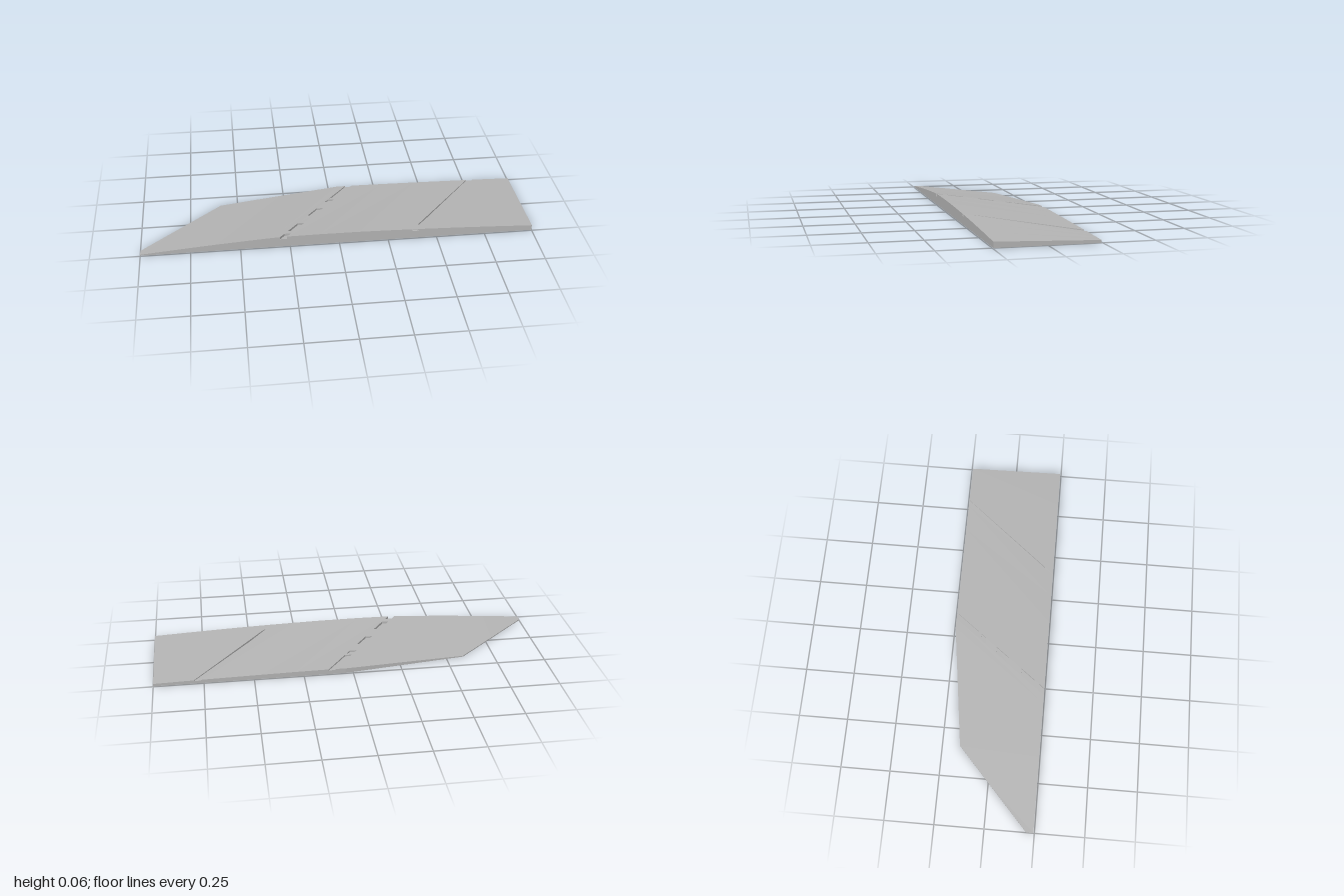
import * as THREE from 'three';

const FRONT = 0.245;

// Slanted ribs across the slab: [front x, front height, back x, back z, back height]
const RIBS = [
  [-1, 0.006, -1, 0.21, 0.005],
  [-0.8, 0.023, -0.79, 0.02, 0.005],
  [-0.62, 0.037, -0.59, -0.16, 0.005],
  [-0.47, 0.047, -0.27, -0.203, 0.016],
  [-0.345, 0.055, 0.04, -0.245, 0.026],
  [-0.3, 0.057, 0.09, -0.245, 0.027],
  [-0.265, 0.058, 0.125, -0.245, 0.027],
  [-0.1, 0.059, 0.29, -0.245, 0.0255],
  [0.1, 0.058, 0.47, -0.245, 0.023],
  [0.25, 0.055, 0.62, -0.245, 0.0205],
  [0.375, 0.052, 0.765, -0.245, 0.018],
  [0.379, 0.052, 0.8, -0.245, 0.0175],
  [0.6, 0.045, 0.87, -0.245, 0.016],
  [0.8, 0.037, 0.935, -0.245, 0.0145],
  [1, 0.028, 1, -0.245, 0.013],
];

// Open lengths of each groove, as fractions from front to back, by strip
const GROOVES = {
  5: [[0, 0.06], [0.11, 0.255], [0.4, 0.54], [0.665, 0.715], [0.745, 1]],
  10: [[0.09, 1]],
};
const FLOOR = 0.77;

// Point on a rib; k scales the height (0 = underside, 1 = top)
function point(i, t, k = 1) {
  const [xf, hf, xb, zb, hb] = RIBS[i];
  const mix = THREE.MathUtils.lerp;
  return [mix(xf, xb, t), k * mix(hf, hb, t), mix(FRONT, zb, t)];
}

function quadGeometry(quads) {
  const pos = [];
  for (const [a, b, c, d] of quads) pos.push(...a, ...b, ...c, ...a, ...c, ...d);
  const g = new THREE.BufferGeometry();
  g.setAttribute('position', new THREE.Float32BufferAttribute(pos, 3));
  g.computeVertexNormals();
  return g;
}

export function createModel() {
  const group = new THREE.Group();
  const grey = new THREE.MeshStandardMaterial({ color: 0xb4b4b4 });
  grey.name = 'plain grey';
  const add = (name, geometry) => {
    const mesh = new THREE.Mesh(geometry, grey);
    mesh.name = name;
    group.add(mesh);
    return mesh;
  };

  const top = [], floors = [], bottom = [], back = [];
  const outline = [[RIBS[0][0], 0]];
  for (let i = 0; i < RIBS.length - 1; i++) {
    const j = i + 1;
    const open = GROOVES[i] || [];
    const cell = (t0, t1, k) => [point(i, t0, k), point(j, t0, k), point(j, t1, k), point(i, t1, k)];

    // Top skin between the grooves
    let t = 0;
    for (const [t0, t1] of open) {
      if (t0 > t) top.push(cell(t, t0, 1));
      t = t1;
      // Groove floor, side walls and closed ends
      floors.push(cell(t0, t1, FLOOR));
      floors.push([point(i, t0, FLOOR), point(i, t1, FLOOR), point(i, t1), point(i, t0)]);
      floors.push([point(j, t1, FLOOR), point(j, t0, FLOOR), point(j, t0), point(j, t1)]);
      if (t0 > 0) floors.push([point(j, t0, FLOOR), point(i, t0, FLOOR), point(i, t0), point(j, t0)]);
      if (t1 < 1) floors.push([point(i, t1, FLOOR), point(j, t1, FLOOR), point(j, t1), point(i, t1)]);
    }
    if (t < 1) top.push(cell(t, 1, 1));

    // Flat underside and back wall
    bottom.push(cell(0, 1, 0).reverse());
    const kb = t === 1 ? FLOOR : 1;
    back.push([point(j, 1, 0), point(i, 1, 0), point(i, 1, kb), point(j, 1, kb)]);

    // Front outline, dipping where a groove breaks through
    const kf = open.length && open[0][0] === 0 ? FLOOR : 1;
    outline.push([RIBS[i][0], RIBS[i][1]]);
    if (kf < 1) outline.push([RIBS[i][0], kf * RIBS[i][1]], [RIBS[j][0], kf * RIBS[j][1]]);
  }
  const last = RIBS.length - 1;
  outline.push([RIBS[last][0], RIBS[last][1]], [RIBS[last][0], 0]);

  add('topSkin', quadGeometry(top));
  add('grooves', quadGeometry(floors));
  add('underside', quadGeometry(bottom));
  add('backWall', quadGeometry(back));
  add('endWalls', quadGeometry([
    [point(last, 0, 0), point(last, 1, 0), point(last, 1), point(last, 0)],
    [point(0, 1, 0), point(0, 0, 0), point(0, 0), point(0, 1)],
  ]));

  // Front wall with a small slot
  const wall = new THREE.Shape(outline.map(([x, y]) => new THREE.Vector2(x, y)));
  const [x0, x1, y0, y1] = [0.374, 0.408, 0.041, 0.049];
  wall.holes.push(new THREE.Path([[x0, y0], [x0, y1], [x1, y1], [x1, y0]].map(([x, y]) => new THREE.Vector2(x, y))));
  add('frontWall', new THREE.ShapeGeometry(wall)).position.z = FRONT;

  // Inside of the slot: a box turned inside out
  const depth = 0.02;
  const slot = new THREE.BoxGeometry(x1 - x0, y1 - y0, depth).toNonIndexed();
  slot.scale(1, 1, -1);
  const p = slot.attributes.position;
  for (let i = 0; i < p.count; i += 3) {
    // swap two corners so that every face looks inward
    const a = new THREE.Vector3().fromBufferAttribute(p, i + 1);
    const b = new THREE.Vector3().fromBufferAttribute(p, i + 2);
    const inward = new THREE.Vector3().fromBufferAttribute(p, i);
    const n = a.clone().sub(inward).cross(b.clone().sub(inward));
    if (n.dot(inward) > 0) {
      p.setXYZ(i + 1, b.x, b.y, b.z);
      p.setXYZ(i + 2, a.x, a.y, a.z);
    }
  }
  slot.computeVertexNormals();
  add('frontSlot', slot).position.set((x0 + x1) / 2, (y0 + y1) / 2, FRONT - depth / 2);

  return group;
}
